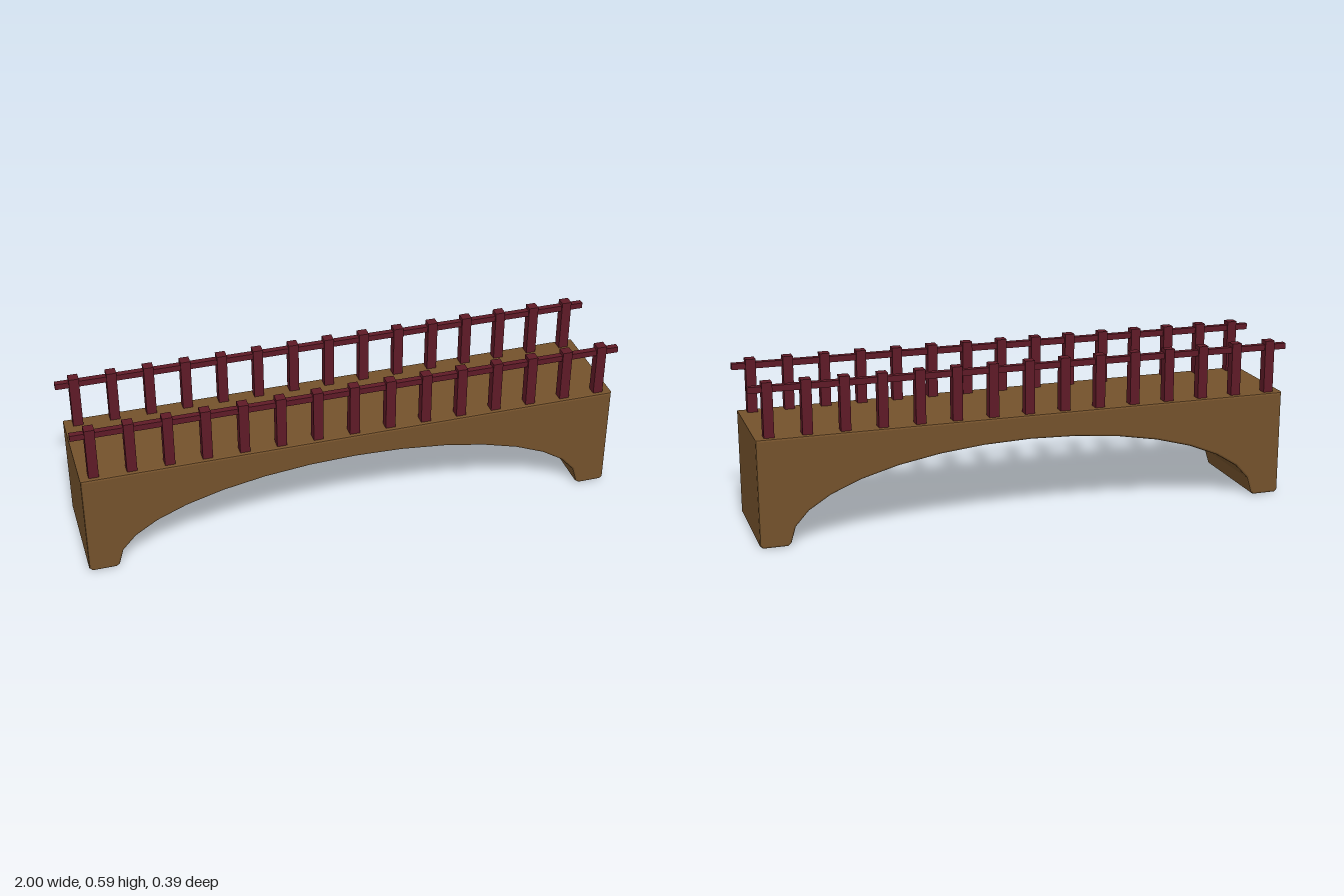
import * as THREE from 'three';

export function createModel() {
  const bridge = new THREE.Group();
  bridge.name = 'archBridge';
  const brown = new THREE.MeshStandardMaterial({ color: 0x73512b });
  const red = new THREE.MeshStandardMaterial({ color: 0x5e1a26 });

  // Arched span: side outline with an elliptical cut-out, bevelled along its edges
  const bevel = 0.008, halfLength = 0.983 - bevel, top = 0.393 - bevel;
  const depth = 0.392, chamfer = 0.006, steps = 16;
  const outline = new THREE.Shape();
  outline.moveTo(-halfLength, top);
  outline.lineTo(-halfLength, bevel + chamfer);
  outline.lineTo(-halfLength + chamfer, bevel);
  outline.lineTo(-0.888, bevel);
  for (let i = 0; i <= steps; i++) {
    const a = Math.PI * (1 - i / steps);
    outline.lineTo(0.88 * Math.cos(a), 0.014 + 0.297 * Math.sin(a));
  }
  outline.lineTo(0.888, bevel);
  outline.lineTo(halfLength - chamfer, bevel);
  outline.lineTo(halfLength, bevel + chamfer);
  outline.lineTo(halfLength, top);
  outline.closePath();
  const spanGeometry = new THREE.ExtrudeGeometry(outline, {
    depth: depth - 2 * bevel, bevelEnabled: true,
    bevelThickness: bevel, bevelSize: bevel, bevelSegments: 2,
  });
  spanGeometry.translate(0, 0, -depth / 2 + bevel);
  const span = new THREE.Mesh(spanGeometry, brown);
  span.name = 'archedSpan';
  bridge.add(span);

  // Railings: a row of square posts threaded by a thin handrail on each side
  const postCount = 15, spacing = 2 / postCount;
  const postGeometry = new THREE.BoxGeometry(0.036, 0.2, 0.036);
  const railGeometry = new THREE.BoxGeometry(2, 0.022, 0.022);
  for (const side of [1, -1]) {
    const railing = new THREE.Group();
    railing.name = side > 0 ? 'frontRailing' : 'backRailing';
    railing.position.z = side * 0.164;
    const rail = new THREE.Mesh(railGeometry, red);
    rail.name = 'handrail';
    rail.position.y = 0.563;
    railing.add(rail);
    for (let i = 0; i < postCount; i++) {
      const post = new THREE.Mesh(postGeometry, red);
      post.name = 'railingPost';
      post.position.set((i - (postCount - 1) / 2) * spacing, 0.488, 0);
      railing.add(post);
    }
    bridge.add(railing);
  }
  return bridge;
}
